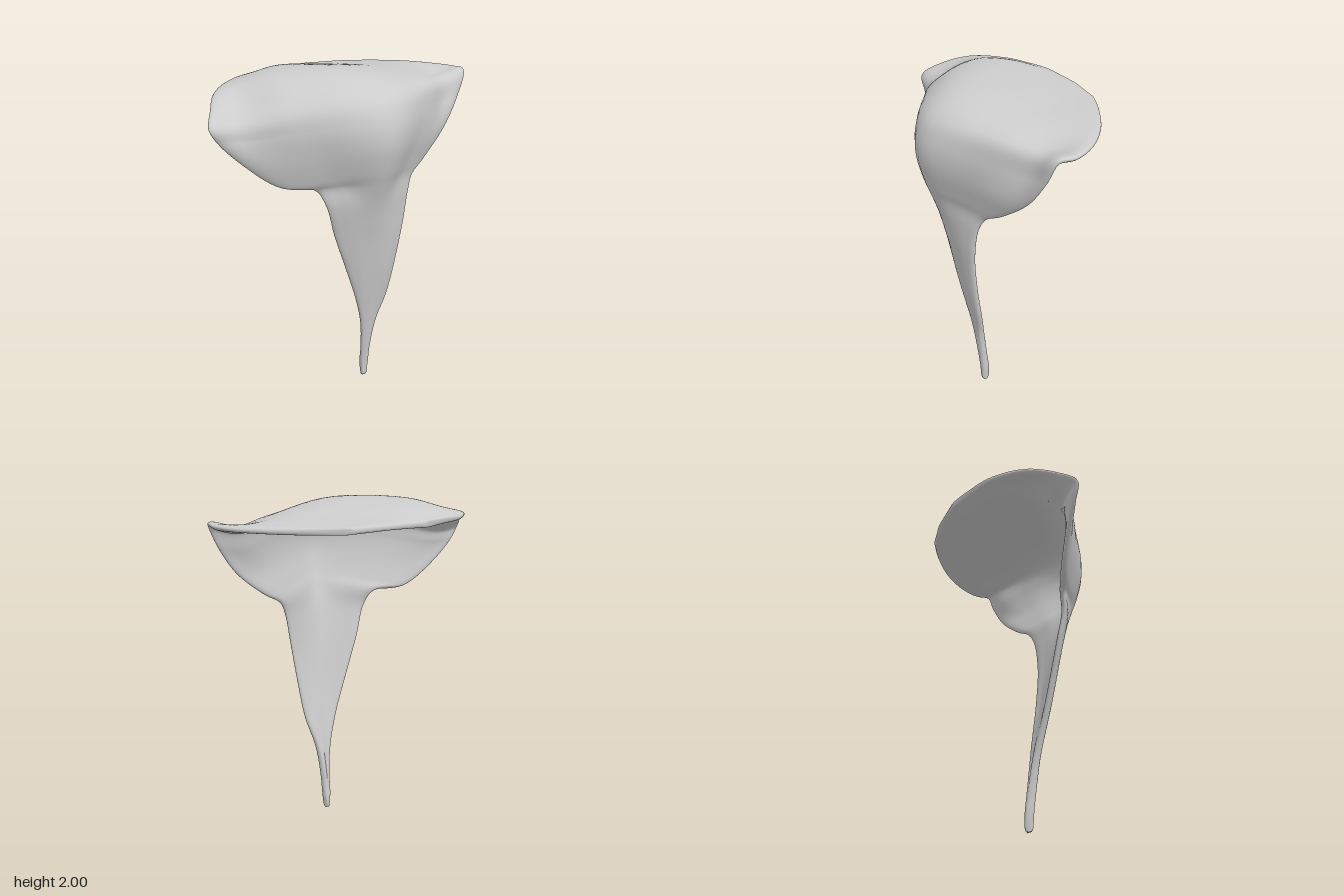
import * as THREE from 'three';
import { mergeVertices } from 'three/addons/utils/BufferGeometryUtils.js';

const { lerp, smoothstep } = THREE.MathUtils;

// Guide curves run from the stem tip, up the front and over to the back rim.
const guide = (n) => {
  const pts = [];
  for (let i = 0; i < n.length; i += 3) pts.push(new THREE.Vector3(n[i], n[i + 1], n[i + 2]));
  return new THREE.CatmullRomCurve3(pts);
};

const rightEdge = guide([
  0.087, 0, 0.13, 0.077, 0.1, 0.135, 0.075, 0.22, 0.145, 0.055, 0.42, 0.17, 0, 0.62, 0.2,
  -0.08, 0.85, 0.22, -0.17, 1.1, 0.24, -0.23, 1.3, 0.255, -0.28, 1.39, 0.22,
  -0.46, 1.42, 0.15, -0.64, 1.56, 0.11, -0.77, 1.7, 0.1, -0.81, 1.775, 0.1,
  -0.76, 1.84, 0, -0.68, 1.88, -0.15, -0.53, 1.89, -0.31, -0.35, 1.895, -0.4, -0.2, 1.895, -0.462]);
const ridge = guide([
  0.1, 0, 0.135, 0.1, 0.1, 0.14, 0.1, 0.22, 0.155, 0.105, 0.42, 0.185, 0.1, 0.62, 0.22,
  0.09, 0.85, 0.265, 0.06, 1.1, 0.31, 0.04, 1.3, 0.355, 0.03, 1.42, 0.395,
  0.03, 1.52, 0.43, 0.03, 1.66, 0.46, 0.03, 1.77, 0.45, 0.02, 1.87, 0.4,
  0.02, 1.945, 0.28, 0, 1.978, 0.08, 0, 1.95, -0.17, 0.02, 1.915, -0.36, 0.03, 1.895, -0.483]);
const leftEdge = guide([
  0.113, 0, 0.13, 0.125, 0.1, 0.135, 0.127, 0.22, 0.145, 0.15, 0.42, 0.175, 0.205, 0.62, 0.215,
  0.235, 0.85, 0.25, 0.265, 1.1, 0.275, 0.3, 1.3, 0.265, 0.34, 1.38, 0.24,
  0.45, 1.45, 0.2, 0.63, 1.6, 0.15, 0.74, 1.76, 0.12, 0.8, 1.895, 0.09,
  0.8, 1.895, 0, 0.73, 1.89, -0.13, 0.58, 1.89, -0.28, 0.38, 1.89, -0.4, 0.22, 1.89, -0.467]);

// Cross-section of the middle surface at height parameter v, from right to left.
function section(v) {
  const c = ridge.getPoint(v);
  const crown = smoothstep(v, 0.66, 0.8) * (1 - smoothstep(v, 0.85, 1));
  const curl = smoothstep(v, 0.56, 0.69) * (1 - smoothstep(v, 0.74, 0.86));
  const round = smoothstep(v, 0.2, 0.3) * (1 - smoothstep(v, 0.4, 0.5));
  const half = (edge, rise) => {
    const e = edge.getPoint(v);
    const mid = e.clone().lerp(c, 0.5);
    mid.y += rise * crown - 0.015 * curl;
    mid.z += 0.01 * round - 0.015 * curl;
    // hollow beside the upturned wing tip
    const hollow = e.clone().lerp(mid, 0.4);
    hollow.y -= 0.035 * curl;
    hollow.z -= 0.045 * curl;
    return [e, hollow, mid];
  };
  return new THREE.CatmullRomCurve3([...half(rightEdge, 0.04), c, ...half(leftEdge, -0.008).reverse()]);
}

// Thick shell: the middle surface offset both ways, thinning to rounded edges.
function shellGeometry(cols, rows) {
  const pos = [], index = [], e = 2e-3;
  const ease = (k) => (1 - Math.cos(Math.PI * k)) / 2;
  for (let j = 0; j <= rows; j++) {
    const v = 0.4 * ease(j / rows) + 0.6 * j / rows;
    const row = section(v);
    const below = section(Math.max(0, v - e)), above = section(Math.min(1, v + e));
    const end = Math.sqrt(Math.max(0, 1 - Math.abs(2 * v - 1) ** 60));
    const half = lerp(0.027, 0.02, Math.min(1, v * 3));
    for (let i = 0; i <= cols; i++) {
      const u = ease(i / cols);
      const p = row.getPoint(u);
      const du = row.getPoint(Math.min(1, u + e)).sub(row.getPoint(Math.max(0, u - e)));
      const dv = above.getPoint(u).sub(below.getPoint(u));
      const side = Math.sqrt(Math.max(0, 1 - Math.abs(2 * u - 1) ** (2 + 30 * v * v)));
      const n = du.cross(dv).normalize().multiplyScalar(half * side * end);
      pos.push(p.x + n.x, p.y + n.y, p.z + n.z, p.x - n.x, p.y - n.y, p.z - n.z);
    }
  }
  for (let j = 0; j < rows; j++) {
    for (let i = 0; i < cols; i++) {
      const a = 2 * (j * (cols + 1) + i), b = a + 2, d = a + 2 * (cols + 1), c = d + 2;
      index.push(a, b, c, a, c, d); // outer skin
      index.push(a + 1, c + 1, b + 1, a + 1, d + 1, c + 1); // inner skin
    }
  }
  let geo = new THREE.BufferGeometry();
  geo.setAttribute('position', new THREE.Float32BufferAttribute(pos, 3));
  geo.setIndex(index);
  geo = mergeVertices(geo, 1e-5);
  geo.computeVertexNormals();
  return geo;
}

export function createModel() {
  const model = new THREE.Group();
  const material = new THREE.MeshStandardMaterial({ color: 0xcccccc, side: THREE.DoubleSide });
  const shell = new THREE.Mesh(shellGeometry(60, 140), material);
  shell.name = 'hoodedShellWithStem';
  model.add(shell);
  return model;
}
